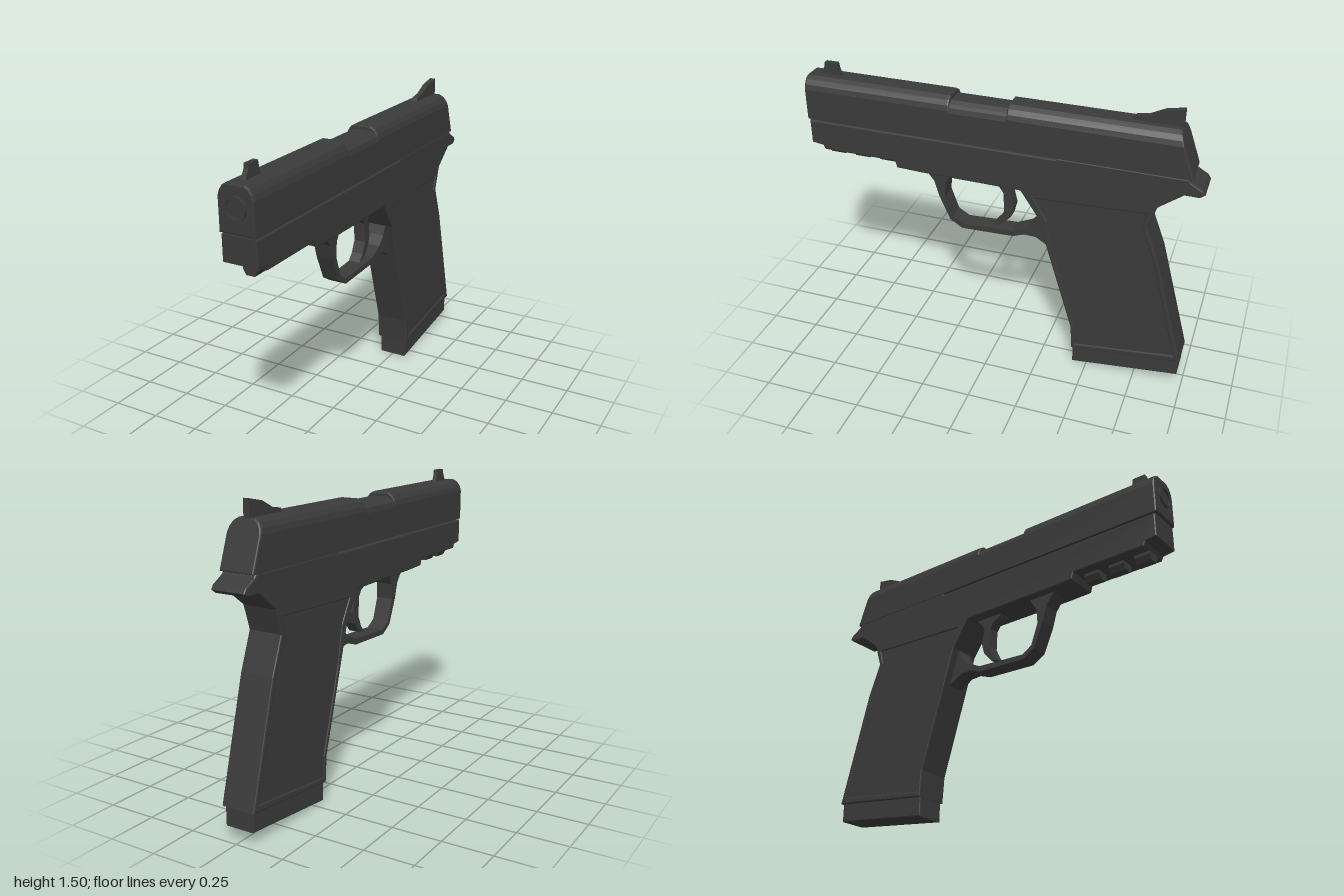
import * as THREE from 'three';

const gunmetal = new THREE.MeshStandardMaterial({ color: 0x3a3a3a });
gunmetal.name = 'darkGrey';

const toShape = (pts) => new THREE.Shape(pts.map(([a, b]) => new THREE.Vector2(a, b)));

function extrude(pts, depth, bevel, hole) {
  const shape = toShape(pts);
  if (hole) shape.holes.push(new THREE.Path(hole.map(([a, b]) => new THREE.Vector2(a, b))));
  const geo = new THREE.ExtrudeGeometry(shape, {
    depth: depth - 2 * bevel, bevelEnabled: bevel > 0, bevelSize: bevel,
    bevelThickness: bevel, bevelOffset: -bevel, bevelSegments: 2,
  });
  return geo.translate(0, 0, bevel);
}

export function createModel() {
  const model = new THREE.Group();
  model.name = 'sidearm';
  const add = (name, geo) => {
    const mesh = new THREE.Mesh(geo, gunmetal);
    mesh.name = name;
    model.add(mesh);
    return mesh;
  };

  // Side outline given as [z, y], extruded symmetrically across x
  const plate = (name, pts, half, bevel = 0, hole) =>
    add(name, extrude(pts, half * 2, bevel, hole).translate(0, 0, -half).rotateY(-Math.PI / 2));

  // Slide: an arched section run along z, with a lowered part at the port
  const section = (top, drop) => {
    const right = [[0.09, 1.202], [0.09, 1.36 - drop], [0.083, 1.385 - drop], [0.068, top - 0.014], [0.045, top]];
    return [...right, ...right.map(([x, y]) => [-x, y]).reverse()];
  };
  const slidePart = (name, z0, z1, top, drop, bevel) =>
    add(name, extrude(section(top, drop), z1 - z0, bevel).translate(0, 0, z0));
  slidePart('slideFront', 0.23, 0.99, 1.422, 0, 0.008);
  slidePart('slidePort', -0.08, 0.25, 1.4, 0.01, 0);
  const rear = slidePart('slideRear', -0.94, -0.055, 1.422, 0, 0.008).geometry;

  // Slant the back of the slide
  const p = rear.attributes.position;
  for (let i = 0; i < p.count; i++) {
    if (p.getZ(i) < -0.8) p.setZ(i, p.getZ(i) + (p.getY(i) - 1.202) * 0.364);
  }
  rear.computeVertexNormals();

  // Barrel end with an open bore
  const muzzle = [[0, -0.12], [0.043, -0.12], [0.043, 0], [0.053, 0], [0.053, -0.1]];
  const barrel = new THREE.LatheGeometry(
    muzzle.map(([r, y]) => new THREE.Vector2(r, y)).reverse(), 32).toNonIndexed();
  barrel.computeVertexNormals();
  barrel.rotateX(Math.PI / 2).translate(0, 1.32, 1);
  add('muzzle', barrel);
  // The slide front is closed, so a dark ring-free disc sits just inside the bore
  add('boreFace', new THREE.CircleGeometry(0.043, 32).translate(0, 1.32, 0.992));

  // Frame and grip in one outline, with a recessed grip panel
  const panel = [
    [-0.2, 0.965], [-0.745, 0.988], [-0.728, 0.91], [-0.797, 0.73], [-0.942, 0.19],
    [-0.44, 0.13], [-0.433, 0.235], [-0.305, 0.66], [-0.268, 0.85],
  ];
  plate('frame', [
    [0.98, 1.195], [0.98, 1.07], [0.92, 1.062], [0.91, 1.04], [0.525, 1.04], [0.515, 1.005],
    [0.39, 1], [-0.13, 0.995], [-0.22, 0.86], [-0.28, 0.66], [-0.41, 0.235], [-0.42, 0.1],
    [-0.98, 0.16], [-0.82, 0.735], [-0.752, 0.91], [-0.79, 1.03], [-0.905, 1.118],
    [-0.975, 1.118], [-0.998, 1.135], [-0.985, 1.155], [-0.925, 1.19], [-0.915, 1.203],
    [-0.3, 1.203], [-0.3, 1.195],
  ], 0.089, 0.007, panel);
  plate('gripPanel', panel, 0.083);

  // Magazine base
  plate('magazineBase', [[-0.425, 0.13], [-0.425, 0.004], [-0.972, 0.065], [-0.972, 0.19]], 0.076, 0.006);

  // Trigger guard loop
  plate('triggerGuard', [
    [0.39, 1.01], [0.335, 0.94], [0.312, 0.86], [0.255, 0.73], [0.19, 0.69], [-0.08, 0.698],
    [-0.145, 0.722], [-0.2, 0.718], [-0.28, 0.67], [-0.3, 0.75], [-0.235, 0.87], [-0.222, 0.86],
    [-0.2, 0.81], [-0.16, 0.765], [-0.08, 0.728], [0.185, 0.716], [0.24, 0.75], [0.28, 0.86],
    [0.275, 0.94], [0.23, 1.01],
  ], 0.045);

  // Trigger
  plate('trigger', [
    [0.05, 1.01], [0.04, 0.985], [-0.005, 0.96], [-0.025, 0.93], [-0.03, 0.83], [-0.005, 0.775],
    [0.027, 0.738], [-0.02, 0.748], [-0.065, 0.8], [-0.08, 0.86], [-0.062, 0.935],
    [-0.08, 0.965], [-0.12, 1.01],
  ], 0.03);

  // Rail lugs under the front of the frame
  const lug = [[-0.037, 1.045], [-0.037, 1.025], [-0.022, 0.998], [0.022, 0.998], [0.037, 1.025], [0.037, 1.045]];
  [0.83, 0.692, 0.555].forEach((z, i) => add('railLug' + (i + 1), extrude(lug, 0.082, 0).translate(0, 0, z)));

  // Sights
  plate('frontSight', [[0.935, 1.415], [0.91, 1.46], [0.905, 1.485], [0.84, 1.485], [0.835, 1.455], [0.82, 1.415]], 0.012);
  plate('rearSight', [
    [-0.63, 1.415], [-0.64, 1.44], [-0.7, 1.45], [-0.77, 1.485], [-0.86, 1.503], [-0.86, 1.415],
  ], 0.015);

  return model;
}
